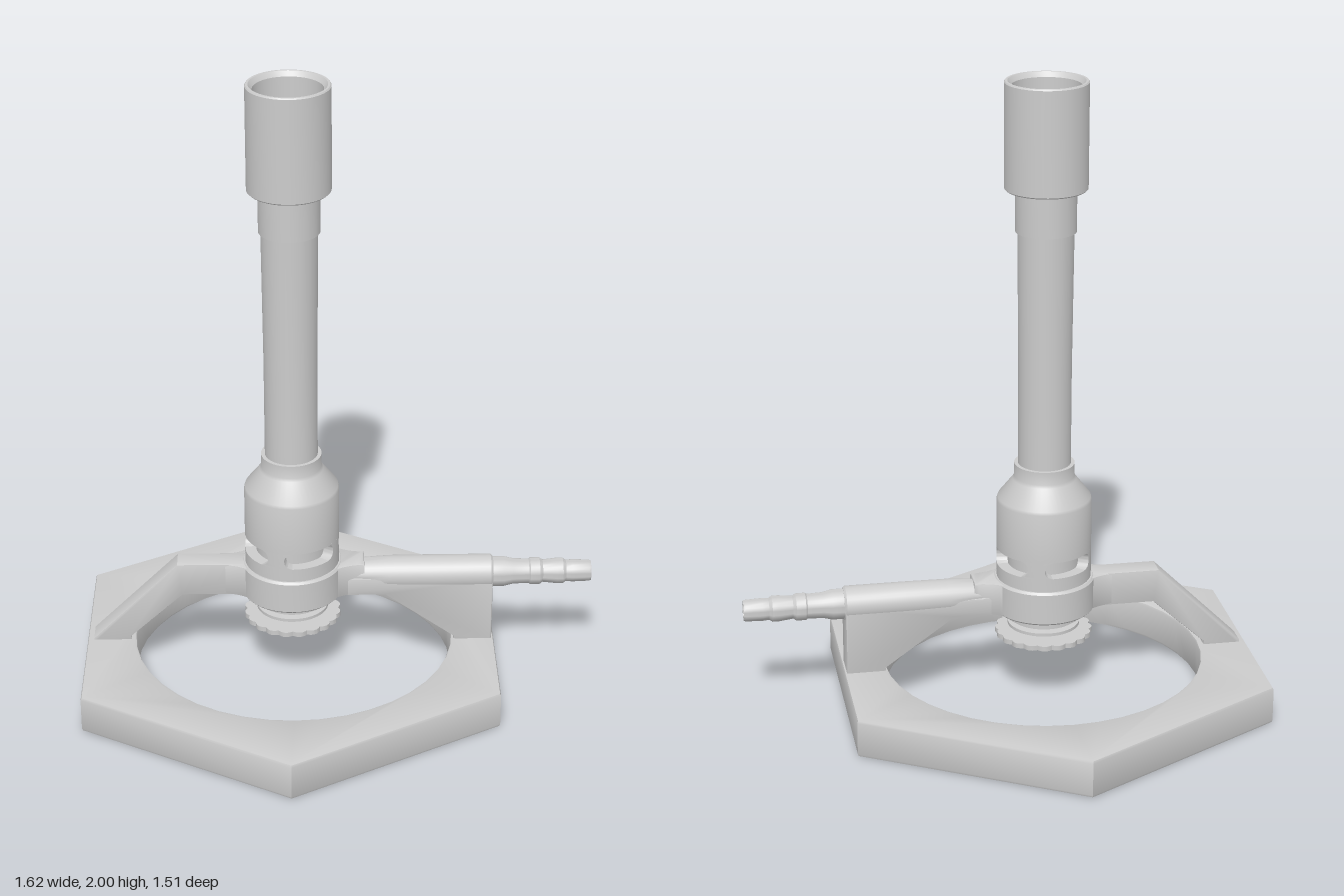
import * as THREE from 'three';
import { toCreasedNormals } from 'three/addons/utils/BufferGeometryUtils.js';

const AXIS = -0.148; // x of the burner's upright axis
const PIPE_Y = 0.345; // height of the gas inlet
const material = new THREE.MeshStandardMaterial({ color: 0xcccccc });

function part(name, geometry) {
  const mesh = new THREE.Mesh(toCreasedNormals(geometry, 0.55), material);
  mesh.name = name;
  return mesh;
}

function lathe(points, segments = 48) {
  return new THREE.LatheGeometry(points.map(([r, y]) => new THREE.Vector2(r, y)), segments);
}

// turned part standing on the burner axis
function upright(name, points) {
  const mesh = part(name, lathe(points));
  mesh.position.x = AXIS;
  return mesh;
}

// turned part lying along x at the height of the gas inlet
function lying(name, points) {
  const mesh = part(name, lathe(points, 32).rotateZ(-Math.PI / 2));
  mesh.position.y = PIPE_Y;
  return mesh;
}

function extrude(shape, depth, bevel, curveSegments = 12) {
  return new THREE.ExtrudeGeometry(shape, {
    depth: depth - 2 * bevel, curveSegments,
    bevelEnabled: bevel > 0, bevelThickness: bevel, bevelSize: bevel, bevelOffset: -bevel, bevelSegments: 2,
  }).translate(0, 0, bevel);
}

const polygon = (points) => new THREE.Shape(points.map(([x, y]) => new THREE.Vector2(x, y)));

// side profile extruded symmetrically about z = 0
function arm(name, points, width, bevel) {
  return part(name, extrude(polygon(points), width, bevel).translate(0, 0, -width / 2));
}

// hexagonal ring base
function base() {
  const corners = [];
  for (let i = 0; i < 6; i++) {
    const a = Math.PI / 6 + (i * Math.PI) / 3;
    corners.push([-0.155 + 0.757 * Math.cos(a), 0.753 * Math.sin(a)]);
  }
  const shape = polygon(corners);
  const hole = new THREE.Path();
  hole.absarc(-0.145, 0, 0.508, 0, Math.PI * 2, true);
  shape.holes.push(hole);
  return part('base', extrude(shape, 0.125, 0.01, 20).rotateX(-Math.PI / 2));
}

// flared root joining an arm to the holder ring; side is -1 or 1
function armRoot(name, side, halfWidth) {
  const s = new THREE.Shape();
  s.moveTo(0.08, -0.125);
  s.quadraticCurveTo(0.15, -halfWidth, 0.23, -halfWidth);
  s.lineTo(0.23, halfWidth);
  s.quadraticCurveTo(0.15, halfWidth, 0.08, 0.125);
  const mesh = part(name, extrude(s, 0.108, 0.006).rotateX(-Math.PI / 2));
  mesh.position.set(AXIS, 0.291, 0);
  if (side < 0) mesh.rotation.y = Math.PI;
  return mesh;
}

// bridge between two air slots, spreading at top and bottom to round the slot ends
function slotBridge(centre) {
  const rows = 10, cols = 10, positions = [], indices = [];
  const n = 2 * (cols + 1);
  for (let j = 0; j <= rows; j++) {
    const t = -1 + (2 * j) / rows;
    const half = 0.18 + 0.17 * (1 - Math.sqrt(1 - t * t));
    for (let k = 0; k < n; k++) {
      const outer = k <= cols;
      const u = outer ? k / cols : (n - 1 - k) / cols;
      const a = centre + half * (2 * u - 1);
      const r = outer ? 0.15 : 0.112;
      positions.push(r * Math.sin(a), 0.472 + 0.027 * t, r * Math.cos(a));
    }
  }
  for (let j = 0; j < rows; j++) {
    for (let k = 0; k < n; k++) {
      const a = j * n + k, b = j * n + ((k + 1) % n);
      indices.push(a, b, b + n, a, b + n, a + n);
    }
  }
  const g = new THREE.BufferGeometry();
  g.setAttribute('position', new THREE.Float32BufferAttribute(positions, 3));
  g.setIndex(indices);
  const mesh = part('airSlotBridge', g);
  mesh.position.x = AXIS;
  return mesh;
}

// scalloped thumb wheel under the burner
function thumbWheel() {
  const points = [];
  for (let i = 0; i < 120; i++) {
    const a = (i / 120) * Math.PI * 2;
    const r = 0.146 + 0.009 * Math.abs(Math.sin(a * 10));
    points.push([r * Math.cos(a), r * Math.sin(a)]);
  }
  const mesh = part('thumbWheel', extrude(polygon(points), 0.016, 0).rotateX(-Math.PI / 2));
  mesh.position.set(AXIS, 0.199, 0);
  return mesh;
}

export function createModel() {
  const model = new THREE.Group();
  model.name = 'gasBurner';

  model.add(base());

  // supporting arms
  model.add(arm('rightArm', [
    [-0.79, 0.115], [-0.67, 0.115], [-0.67, 0.135], [-0.5, 0.29], [-0.25, 0.29],
    [-0.25, 0.4], [-0.515, 0.4], [-0.79, 0.13],
  ], 0.076, 0.004));
  model.add(arm('leftArmWeb', [
    [0.37, 0.115], [0.493, 0.115], [0.493, 0.35], [-0.02, 0.35], [-0.02, 0.29], [0.15, 0.29], [0.37, 0.133],
  ], 0.106, 0.006));
  model.add(armRoot('rightArmRoot', -1, 0.037));
  model.add(armRoot('leftArmRoot', 1, 0.044));

  // gas inlet: rounded pipe housing and barbed hose nozzle
  model.add(lying('inletHousing', [
    [0, -0.05], [0.044, -0.05], [0.045, 0.03], [0.05, 0.09], [0.055, 0.16], [0.056, 0.3],
    [0.056, 0.488], [0.05, 0.495], [0, 0.495],
  ]));
  model.add(lying('hoseNozzle', [
    [0.048, 0.49], [0.048, 0.53], [0.041, 0.56], [0.039, 0.61], [0.043, 0.615], [0.043, 0.645],
    [0.036, 0.655], [0.041, 0.7], [0.041, 0.72], [0.034, 0.73], [0.036, 0.75], [0.034, 0.803],
    [0.032, 0.81], [0.022, 0.81], [0.022, 0.6], [0, 0.6],
  ]));

  // holder ring and the adjusting screw below it
  model.add(upright('holderRing', [
    [0, 0.29], [0.155, 0.29], [0.161, 0.296], [0.161, 0.394], [0.155, 0.401], [0, 0.401],
  ]));
  model.add(upright('adjustingScrew', [
    [0.06, 0.205], [0.06, 0.228], [0.115, 0.232], [0.115, 0.242], [0.07, 0.246], [0.07, 0.25],
    [0.105, 0.252], [0.105, 0.262], [0.122, 0.264], [0.122, 0.295],
  ]));
  model.add(thumbWheel());

  // air collar with four slots around a recessed core
  model.add(upright('airCollar', [
    [0.15, 0.395], [0.15, 0.445], [0.115, 0.445], [0.115, 0.499], [0.15, 0.499], [0.15, 0.66],
    [0.147, 0.67], [0.1, 0.73], [0.095, 0.74], [0.095, 0.782], [0.08, 0.782],
  ]));
  for (let i = 0; i < 4; i++) model.add(slotBridge(THREE.MathUtils.degToRad(70 + 90 * i)));

  // barrel and hollow flame sleeve
  model.add(upright('barrel', [
    [0.083, 0.77], [0.083, 1.1], [0.087, 1.535], [0.094, 1.535], [0.094, 1.68],
  ]));
  model.add(upright('flameSleeve', [
    [0.09, 1.667], [0.124, 1.667], [0.128, 1.671], [0.128, 1.996], [0.125, 2], [0.118, 2],
    [0.106, 1.985], [0.104, 1.7], [0.014, 1.7], [0.014, 1.68], [0, 1.68],
  ]));

  return model;
}
